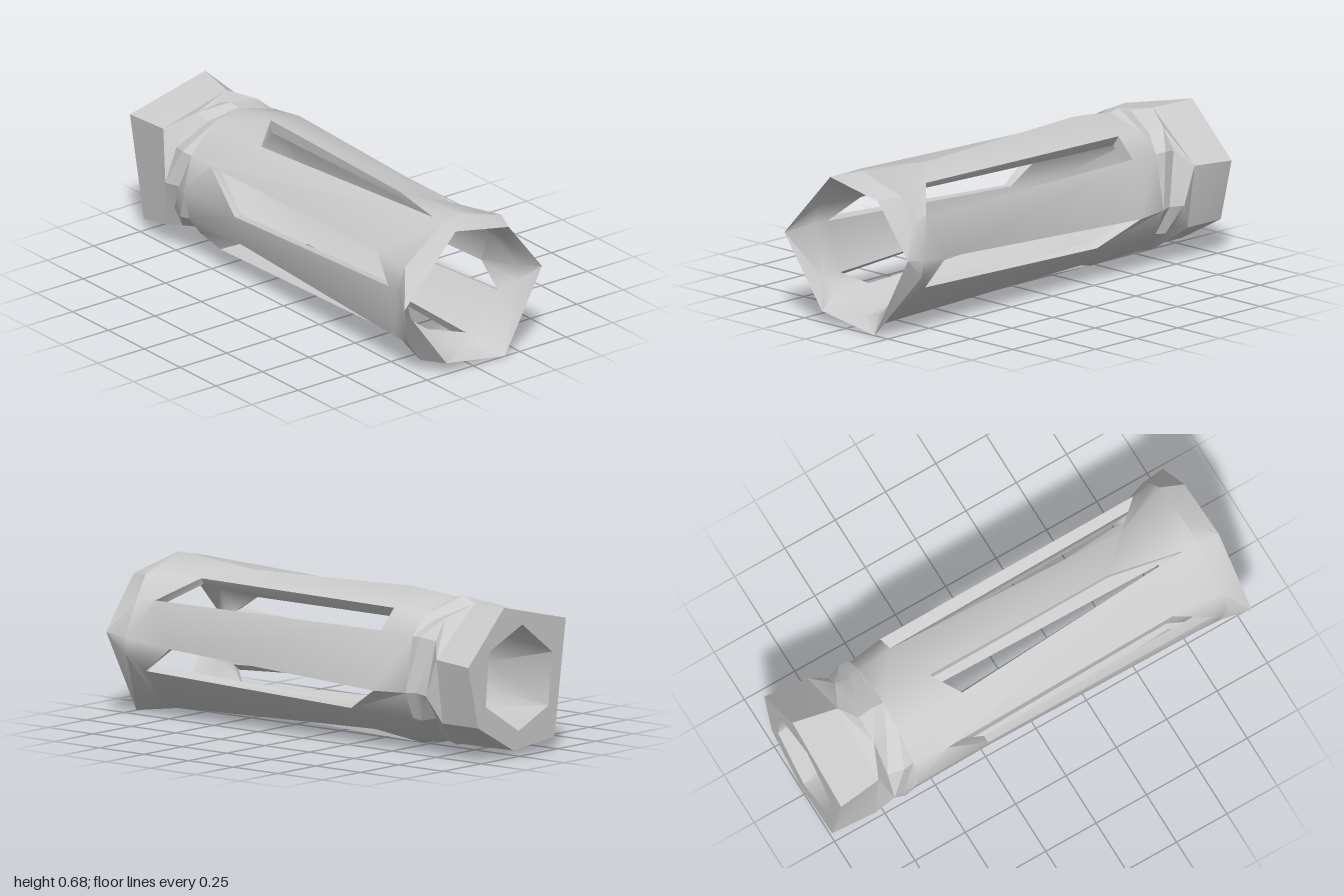
import * as THREE from 'three';
import { toCreasedNormals } from 'three/addons/utils/BufferGeometryUtils.js';

const AXIS_Y = 0.34;
const material = new THREE.MeshStandardMaterial({ color: 0xcccccc, side: THREE.DoubleSide });

// Slots round the barrel: [x, degrees] at low edge start / end, high edge start / end
const SLOTS = [
  [[-0.27, 0], [0.83, 11], [-0.46, 30], [0.67, 30]],
  [[-0.3, 63], [0.83, 75], [-0.39, 87], [0.5, 88]],
  [[-0.46, 125], [0.66, 118], [-0.46, 146], [0.8, 148]],
  [[-0.46, 192], [0.7, 184], [-0.27, 215], [0.83, 203]],
  [[-0.3, 246], [0.82, 250], [-0.46, 267], [0.68, 270]],
  [[-0.46, 315], [0.7, 306], [-0.27, 334], [0.8, 324]],
];

// Hexagon corners as [z, y - axis]
const TIP_HEX = [[0.37, 0.02], [0.095, 0.315], [-0.19, 0.26], [-0.37, 0.03], [-0.17, -0.335], [0.145, -0.285]];
const COLLAR_HEX = [[0.305, 0.225], [-0.1, 0.32], [-0.335, 0.09], [-0.27, -0.18], [-0.04, -0.305], [0.23, -0.28]];
const COLLAR_BACK_HEX = [[0.28, 0.22], [-0.06, 0.31], [-0.31, 0.1], [-0.27, -0.18], [-0.03, -0.31], [0.26, -0.23]];
const BORE_HEX = [[0.215, 0.09], [0.025, 0.235], [-0.2, 0.14], [-0.22, -0.095], [-0.005, -0.225], [0.19, -0.14]];
// Uneven ring where the tip starts to flare, as [radius, degrees]
const MOUTH = [
  [0.335, 11], [0.335, 30], [0.33, 75], [0.34, 90], [0.355, 130], [0.335, 152],
  [0.365, 178], [0.36, 190], [0.335, 250], [0.335, 267], [0.355, 306], [0.335, 325],
];

const polar = (x, r, deg) => {
  const a = THREE.MathUtils.degToRad(deg);
  return new THREE.Vector3(x, AXIS_Y + r * Math.sin(a), r * Math.cos(a));
};

// Every ring has 12 points: the low and high edge of each slot in turn
const hexRing = (x, hex) =>
  hex.flatMap(([z, y]) => [0, 1].map(() => new THREE.Vector3(x, AXIS_Y + y, z)));
// Slot corners sit lower on the barrel where they lie nearer its middle
const slotRing = (end, rFar, rNear) =>
  SLOTS.flatMap((s) => [s[end], s[end + 2]].map(([x, deg]) =>
    polar(x, Math.abs(x - 0.18) > 0.55 ? rFar : rNear, deg)));
// Ring in line with the slot starts; radii alternate between low and high edges
const startRing = (x, rLow, rHigh = rLow) =>
  SLOTS.flatMap((s) => [polar(x, rLow, s[0][1]), polar(x, rHigh, s[2][1])]);

function addQuad(out, a, b, c, d) {
  for (const tri of [[a, b, c], [a, c, d]]) {
    const [p, q, r] = tri;
    const area = q.clone().sub(p).cross(r.clone().sub(p)).length();
    if (area > 1e-7) tri.forEach((v) => out.push(v.x, v.y, v.z));
  }
}

// Skin between successive rings; open leaves the slot cells out, inward flips the faces
function skin(rings, { inward = false, open = false } = {}) {
  const out = [];
  for (let i = 0; i < rings.length - 1; i++) {
    const [A, B] = [rings[i], rings[i + 1]];
    for (let j = 0; j < 12; j++) {
      if (open && j % 2 === 0) continue;
      const k = (j + 1) % 12;
      if (inward) addQuad(out, A[j], A[k], B[k], B[j]);
      else addQuad(out, A[j], B[j], B[k], A[k]);
    }
  }
  return out;
}

function addMesh(group, name, positions, crease = 0.6) {
  const geometry = new THREE.BufferGeometry();
  geometry.setAttribute('position', new THREE.Float32BufferAttribute(positions, 3));
  const mesh = new THREE.Mesh(toCreasedNormals(geometry, crease), material);
  mesh.name = name;
  group.add(mesh);
}

export function createModel() {
  const group = new THREE.Group();
  group.name = 'slottedTube';

  const collarEnd = hexRing(-1, COLLAR_HEX);
  const collarBack = hexRing(-0.8, COLLAR_BACK_HEX);
  const boreEnd = hexRing(-1, BORE_HEX);
  const tipEnd = hexRing(1, TIP_HEX);
  const shoulder = startRing(-0.62, 0.31);
  const outerStart = slotRing(0, 0.332, 0.305);
  const outerEnd = slotRing(1, 0.332, 0.305);
  const innerStart = slotRing(0, 0.275, 0.27);
  const innerEnd = slotRing(1, 0.285, 0.275);
  const outerMouth = MOUTH.map(([r, deg]) => polar(0.9, r, deg));
  const innerMouth = MOUTH.map(([r, deg]) => polar(0.9, r - 0.04, deg));

  // Faceted collar, its end face and the creased neck
  addMesh(group, 'collar', skin([collarEnd, collarBack]));
  addMesh(group, 'collarFace', skin([boreEnd, collarEnd]));
  addMesh(group, 'neck', skin([
    collarBack,
    startRing(-0.74, 0.315, 0.295),
    startRing(-0.67, 0.295, 0.32),
    shoulder,
  ]), 0.4);

  // Barrel: solid shoulder, bars between the slots, flared tip
  addMesh(group, 'barrel', [
    ...skin([shoulder, outerStart]),
    ...skin([outerStart, outerEnd], { open: true }),
    ...skin([outerEnd, outerMouth]),
  ], 0.8);
  addMesh(group, 'flaredTip', skin([outerMouth, tipEnd]));

  // Bore: narrow at the collar, widening to the sharp rim of the tip
  addMesh(group, 'bore', [
    ...skin([boreEnd, startRing(-0.62, 0.265), innerStart], { inward: true }),
    ...skin([innerStart, innerEnd], { inward: true, open: true }),
    ...skin([innerEnd, innerMouth, tipEnd], { inward: true }),
  ], 0.8);

  // Walls round each slot, joining barrel and bore
  const walls = [];
  for (let lo = 0; lo < 12; lo += 2) {
    const hi = lo + 1;
    addQuad(walls, outerStart[lo], innerStart[lo], innerEnd[lo], outerEnd[lo]);
    addQuad(walls, outerEnd[hi], innerEnd[hi], innerStart[hi], outerStart[hi]);
    addQuad(walls, outerEnd[lo], innerEnd[lo], innerEnd[hi], outerEnd[hi]);
    addQuad(walls, outerStart[hi], innerStart[hi], innerStart[lo], outerStart[lo]);
  }
  addMesh(group, 'slotWalls', walls);

  return group;
}
